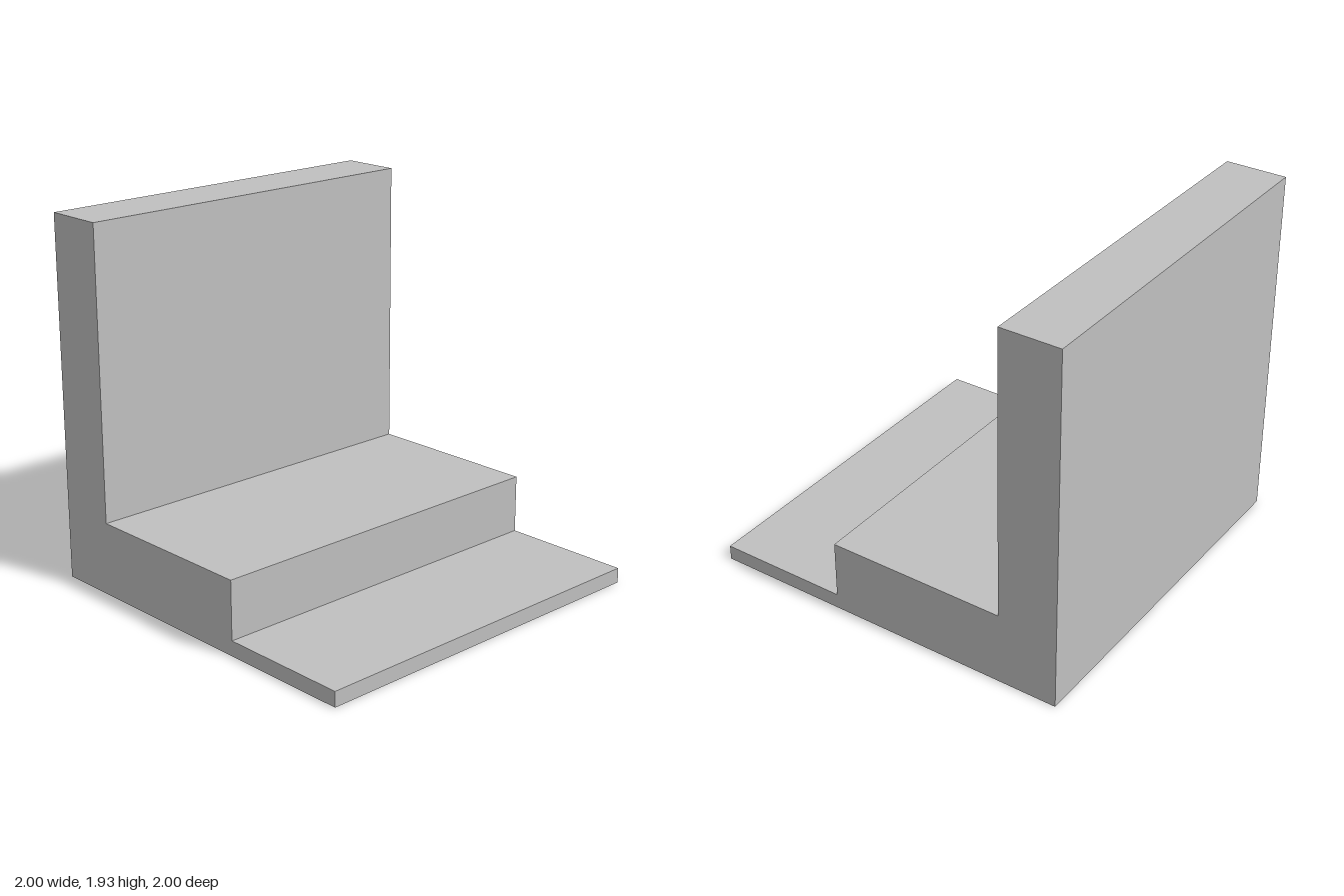
import * as THREE from 'three';

export function createModel() {
  const group = new THREE.Group();
  const lightGrey = new THREE.MeshStandardMaterial({ color: 0xbfbfbf });
  lightGrey.name = 'lightGrey';

  // Full-width slab between two heights, running from the back edge to zFront
  const addSlab = (name, yBottom, yTop, zFront) => {
    const zBack = -1;
    const geometry = new THREE.BoxGeometry(2, yTop - yBottom, zFront - zBack);
    const mesh = new THREE.Mesh(geometry, lightGrey);
    mesh.name = name;
    mesh.position.set(0, (yBottom + yTop) / 2, (zFront + zBack) / 2);
    group.add(mesh);
  };

  addSlab('basePlate', 0, 0.08, 1);
  addSlab('raisedStep', 0.08, 0.39, 0.292);
  addSlab('backWall', 0.39, 1.928, -0.677);

  return group;
}
